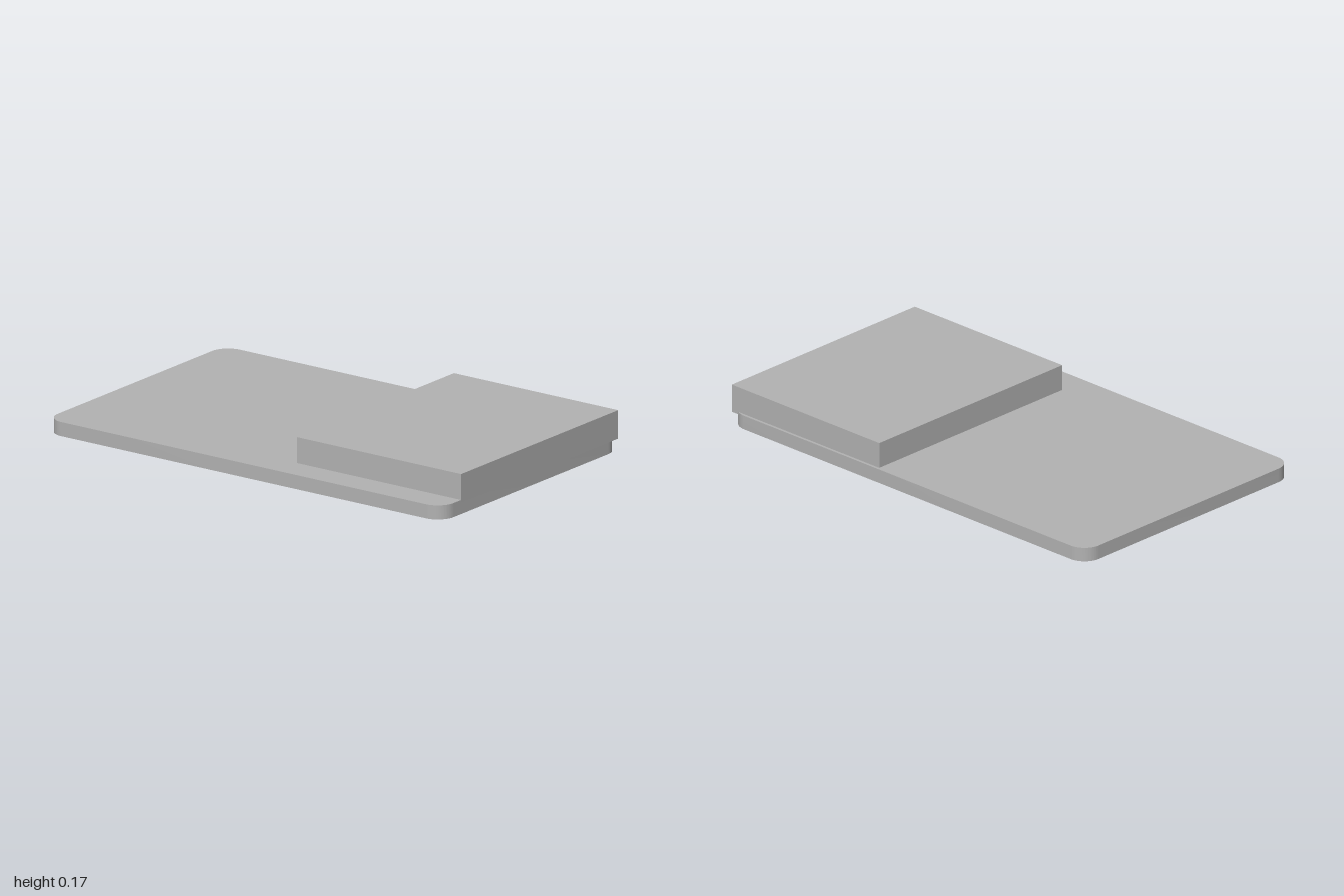
import * as THREE from 'three';
import { toCreasedNormals } from 'three/addons/utils/BufferGeometryUtils.js';

// Rectangle outline with rounded corners, centred on the origin
function roundedRectangle(width, depth, radius) {
  const x = width / 2 - radius, y = depth / 2 - radius;
  const shape = new THREE.Shape();
  shape.absarc(x, y, radius, 0, Math.PI / 2);
  shape.absarc(-x, y, radius, Math.PI / 2, Math.PI);
  shape.absarc(-x, -y, radius, Math.PI, Math.PI * 1.5);
  shape.absarc(x, -y, radius, Math.PI * 1.5, Math.PI * 2);
  shape.closePath();
  return shape;
}

export function createModel() {
  const model = new THREE.Group();
  const grey = new THREE.MeshStandardMaterial({ color: 0xb2b2b2 });
  grey.name = 'grey';

  // Flat base plate with rounded corners
  const plate = new THREE.ExtrudeGeometry(roundedRectangle(2, 1.21, 0.08), {
    depth: 0.06, bevelEnabled: false, curveSegments: 12,
  });
  plate.rotateX(-Math.PI / 2);
  const basePlate = new THREE.Mesh(toCreasedNormals(plate, 0.6), grey);
  basePlate.name = 'basePlate';
  model.add(basePlate);

  // Raised block, sunk slightly into the plate and overhanging its back corner
  const [x0, x1, y0, y1, z0, z1] = [0.17, 1, 0.049, 0.17, -0.593, 0.474];
  const block = new THREE.Mesh(new THREE.BoxGeometry(x1 - x0, y1 - y0, z1 - z0), grey);
  block.position.set((x0 + x1) / 2, (y0 + y1) / 2, (z0 + z1) / 2);
  block.name = 'raisedBlock';
  model.add(block);

  return model;
}
